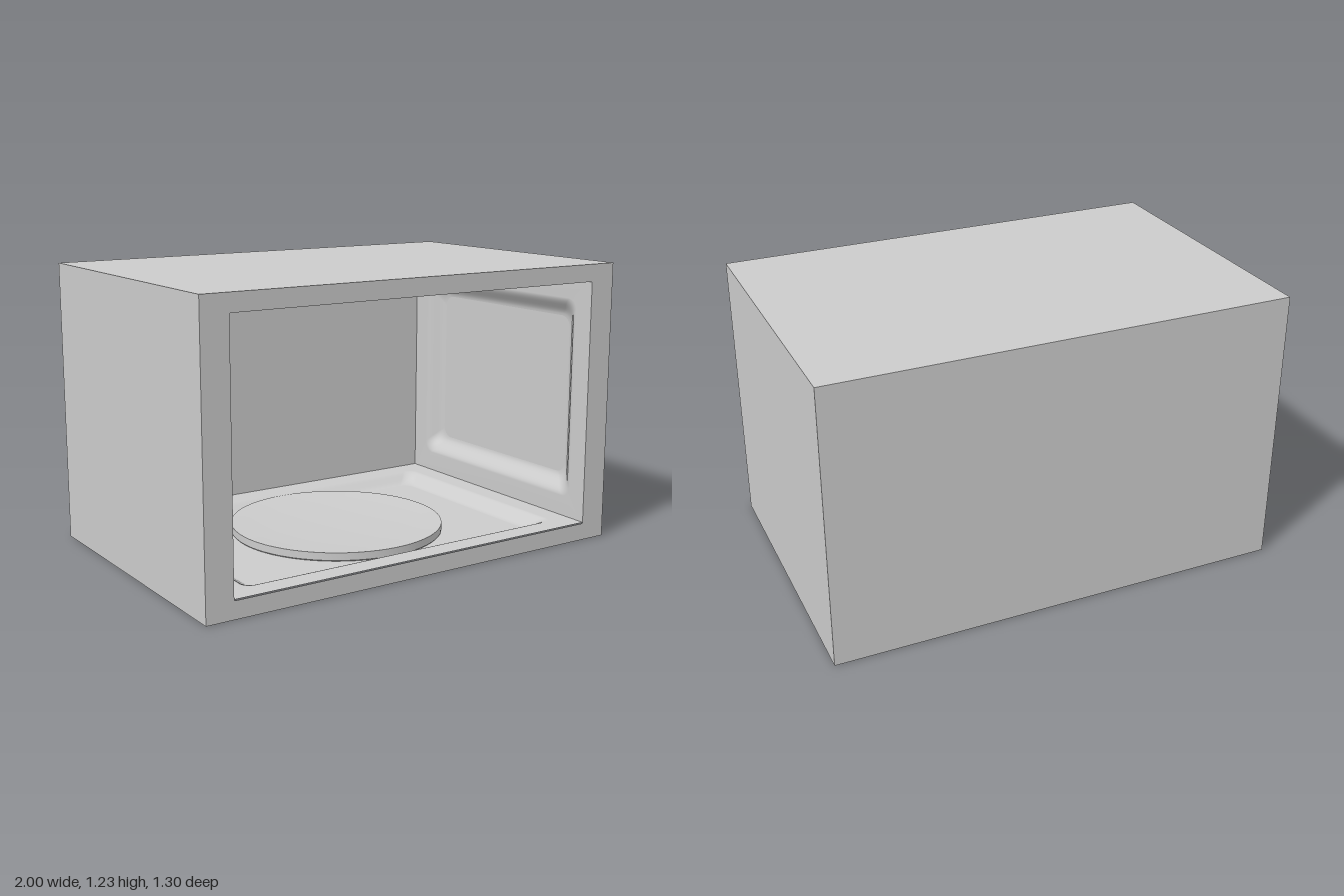
import * as THREE from 'three';
import { mergeGeometries, toCreasedNormals } from 'three/addons/utils/BufferGeometryUtils.js';

const W = 2, H = 1.225, D = 1.3;                       // casing
const IN = { x: 0.88, y0: 0.08, y1: 1.155, z0: -0.59, z1: 0.65 }; // cavity
const CY = (IN.y0 + IN.y1) / 2, CZ = (IN.z0 + IN.z1) / 2;
const IW = IN.x * 2, IH = IN.y1 - IN.y0, ID = IN.z1 - IN.z0;
const HOLE_R = 0.012, CORNER = 6;

const material = new THREE.MeshStandardMaterial({ color: 0xcccccc });

// Rounded rectangle loop, counter-clockwise, always the same point count
function loop(w, h, r) {
  const pts = [];
  [[1, 1], [-1, 1], [-1, -1], [1, -1]].forEach(([sx, sy], q) => {
    for (let i = 0; i <= CORNER; i++) {
      const a = (q + i / CORNER) * Math.PI / 2;
      pts.push(new THREE.Vector2(
        sx * (w / 2 - r) + r * Math.cos(a),
        sy * (h / 2 - r) + r * Math.sin(a)));
    }
  });
  return pts;
}

// Wall panel facing +z: flat border, soft sloping step, sunken middle with optional holes
function recessedPanel(w, h, depth, holes = []) {
  const margin = 0.09, slope = 0.09, steps = 10;
  const rings = [{ pts: loop(w, h, 0), z: 0 }];
  for (let i = 0; i <= steps; i++) {
    const t = i / steps, inset = 2 * (margin + slope * t);
    rings.push({
      pts: loop(w - inset, h - inset, 0.05),
      z: -depth * t * t * (3 - 2 * t),
    });
  }
  const pos = [], index = [], n = rings[0].pts.length;
  rings.forEach(({ pts, z }) => pts.forEach(p => pos.push(p.x, p.y, z)));
  for (let k = 0; k < rings.length - 1; k++) {
    for (let i = 0; i < n; i++) {
      const a = k * n + i, b = k * n + (i + 1) % n;
      index.push(a, b, b + n, a, b + n, a + n);
    }
  }
  const border = new THREE.BufferGeometry();
  border.setAttribute('position', new THREE.Float32BufferAttribute(pos, 3));
  border.setIndex(index);
  border.computeVertexNormals();

  const shape = new THREE.Shape(rings[rings.length - 1].pts);
  holes.forEach(([x, y]) =>
    shape.holes.push(new THREE.Path().absarc(x, y, HOLE_R, 0, Math.PI * 2, true)));
  const middle = new THREE.ShapeGeometry(shape, 4).translate(0, 0, -depth);
  middle.deleteAttribute('uv');
  return mergeGeometries([border, middle]);
}

export function createModel() {
  const group = new THREE.Group();
  const add = (name, geometry) => {
    const mesh = new THREE.Mesh(geometry, material);
    mesh.name = name;
    group.add(mesh);
    return mesh;
  };

  // Outer casing: a box without its front face
  const casing = new THREE.BoxGeometry(W, H, D).translate(0, H / 2, 0);
  casing.setIndex([...casing.index.array].filter((_, i) => i < 24 || i >= 30));
  casing.clearGroups();
  add('casing', casing);

  // Front frame around the opening
  const frame = new THREE.Shape(loop(W, H, 0.001));
  frame.holes.push(new THREE.Path(loop(IW, IH, 0.004).reverse()));
  add('frontFrame', new THREE.ShapeGeometry(frame).translate(0, CY, D / 2)
    .translate(0, H / 2 - CY, 0));

  // Vent grid, in the side wall's own coordinates
  const vents = [];
  for (let c = 0; c < 9; c++) {
    for (let r = 0; r < 6; r++) {
      vents.push([CZ - (0.17 + c * 0.035), 0.82 + r * 0.035 - CY]);
    }
  }

  // Side walls
  const wallDepth = 0.05;
  const place = (geometry, side) =>
    geometry.rotateY(-side * Math.PI / 2).translate(side * IN.x, CY, CZ);
  add('rightWall', place(recessedPanel(ID, IH, wallDepth, vents), -1));
  add('leftWall', place(recessedPanel(ID, IH, wallDepth), 1));

  // Small cups behind the vent holes
  const cups = vents.map(([x, y]) => new THREE.LatheGeometry([
    new THREE.Vector2(HOLE_R, 0),
    new THREE.Vector2(HOLE_R, -0.03),
    new THREE.Vector2(0, -0.03),
  ], 8).rotateX(Math.PI / 2).translate(x, y, -wallDepth));
  add('ventHoles', place(toCreasedNormals(mergeGeometries(cups), 0.9), -1));

  // Floor, ceiling and back wall
  add('floor', recessedPanel(IW, ID, 0.045)
    .rotateX(-Math.PI / 2).translate(0, IN.y0, CZ));
  add('ceiling', new THREE.PlaneGeometry(IW, ID)
    .rotateX(Math.PI / 2).translate(0, IN.y1, CZ));
  add('backWall', new THREE.PlaneGeometry(IW, IH).translate(0, CY, IN.z0));

  // Turntable: shallow dished plate
  const profile = [
    [0, 0.037], [0.465, 0.037], [0.47, 0.042], [0.47, 0.075],
    [0.45, 0.074], [0.4, 0.07], [0.3, 0.065], [0.15, 0.061], [0, 0.06],
  ].map(([x, y]) => new THREE.Vector2(x, y));
  add('turntable', toCreasedNormals(new THREE.LatheGeometry(profile, 64), 0.6));

  return group;
}
